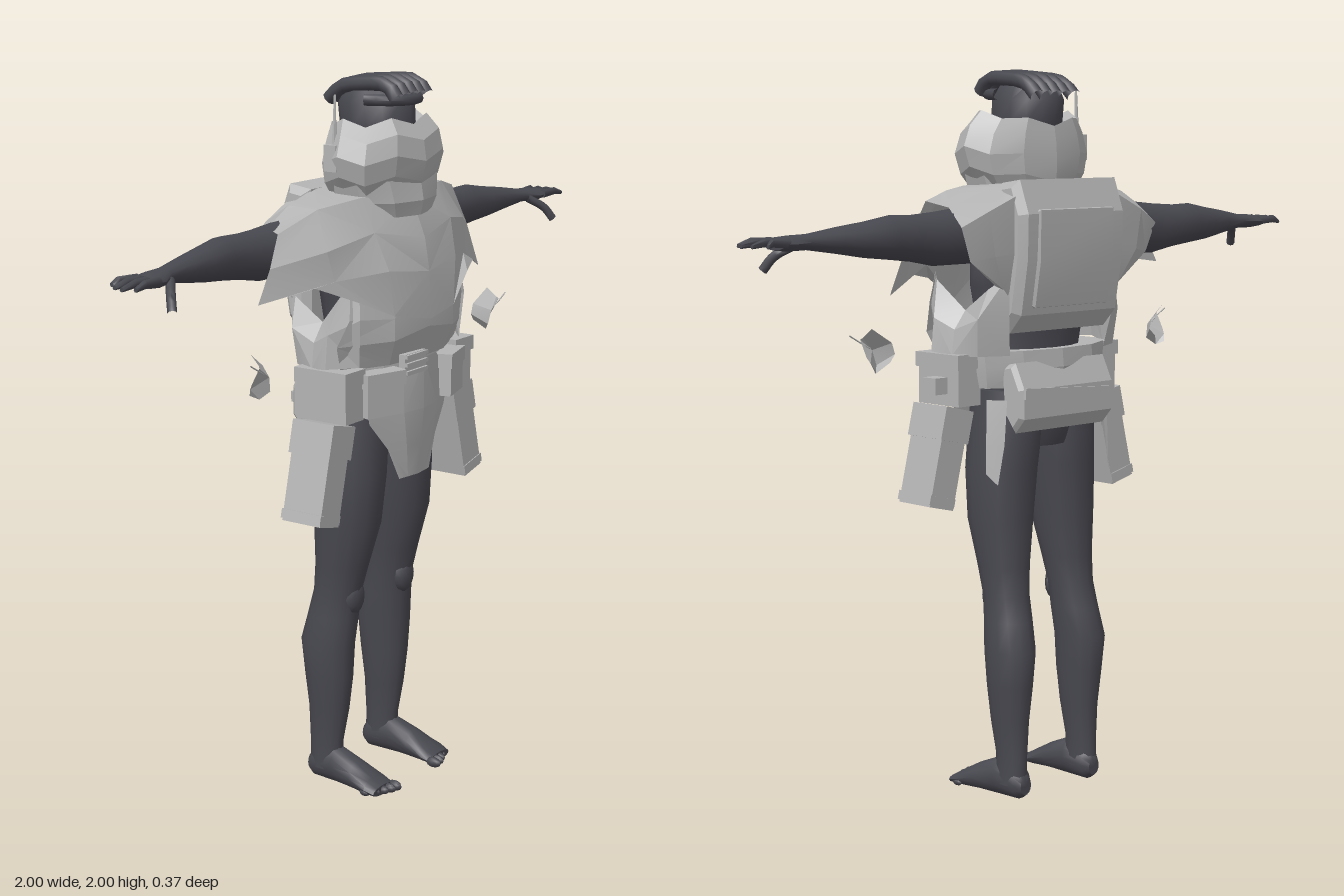
import * as THREE from 'three';
import { toCreasedNormals } from 'three/addons/utils/BufferGeometryUtils.js';

const skin = new THREE.MeshStandardMaterial({ color: 0x484850 });
skin.name = 'dark slate';
const cloth = new THREE.MeshStandardMaterial({ color: 0xb4b4b4, side: THREE.DoubleSide });
cloth.name = 'light grey';

// Elliptical sections [x, y, z, ru, rv], listed in ascending order along the axis
const AXES = { x: [1, 2], y: [2, 0], z: [0, 1] };
function loft(sections, axis, n = 14, caps = true) {
  const [u, v] = AXES[axis], pos = [], idx = [];
  for (const s of sections) for (let j = 0; j < n; j++) {
    const a = (j / n) * Math.PI * 2, p = s.slice(0, 3);
    p[u] += Math.cos(a) * s[3];
    p[v] += Math.sin(a) * s[4];
    pos.push(...p);
  }
  for (let i = 0; i < sections.length - 1; i++) for (let j = 0; j < n; j++) {
    const a = i * n + j, b = i * n + (j + 1) % n;
    idx.push(a, b, b + n, a, b + n, a + n);
  }
  if (caps) {
    const c = pos.length / 3, last = (sections.length - 1) * n;
    pos.push(...sections[0].slice(0, 3), ...sections[sections.length - 1].slice(0, 3));
    for (let j = 0; j < n; j++) {
      const k = (j + 1) % n;
      idx.push(c, k, j, c + 1, last + j, last + k);
    }
  }
  return build(pos, idx);
}

// Open surface through rows of points
function sheet(rows) {
  const n = rows[0].length, idx = [];
  for (let i = 0; i < rows.length - 1; i++) for (let j = 0; j < n - 1; j++) {
    const a = i * n + j;
    if ((i + j) % 2) idx.push(a, a + n, a + 1, a + 1, a + n, a + n + 1);
    else idx.push(a, a + n, a + n + 1, a, a + n + 1, a + 1);
  }
  return build(rows.flat(2), idx);
}

function build(pos, idx) {
  const g = new THREE.BufferGeometry();
  g.setAttribute('position', new THREE.Float32BufferAttribute(pos, 3));
  g.setIndex(idx);
  return g;
}

// Side profile of [z, y] points, extruded across x
function acrossX(profile, width, bevel = 0.012) {
  const shape = new THREE.Shape(profile.map(([z, y]) => new THREE.Vector2(-z, y)));
  const g = new THREE.ExtrudeGeometry(shape, { depth: width - 2 * bevel, bevelSize: bevel, bevelThickness: bevel, bevelSegments: 1, bevelOffset: -bevel });
  return g.translate(0, 0, -width / 2 + bevel).rotateY(Math.PI / 2);
}

function tube(points, r) {
  const curve = new THREE.CatmullRomCurve3(points.map(p => new THREE.Vector3(...p)));
  return new THREE.TubeGeometry(curve, 8, r, 8);
}

export function createModel() {
  const model = new THREE.Group();
  model.name = 'cloakedFigure';
  const add = (parent, name, geo, mat, crease = mat === skin ? 0.9 : 0.25) => {
    const m = new THREE.Mesh(toCreasedNormals(geo, crease), mat);
    m.name = name;
    parent.add(m);
    return m;
  };
  const box = (parent, name, w, h, d, x, y, z, rx = 0, ry = 0, rz = 0) => {
    const m = add(parent, name, new THREE.BoxGeometry(w, h, d), cloth);
    m.position.set(x, y, z);
    m.rotation.set(rx, ry, rz);
  };

  // Body and head
  add(model, 'torso', loft([[0, 0.98, -0.01, 0.09, 0.1], [0, 1.08, -0.01, 0.115, 0.18], [0, 1.25, 0, 0.1, 0.165],
    [0, 1.42, 0, 0.115, 0.2], [0, 1.55, -0.02, 0.12, 0.22], [0, 1.64, -0.03, 0.09, 0.17], [0, 1.68, -0.03, 0.06, 0.07]], 'y'), skin);
  add(model, 'head', loft([[0, 1.62, -0.02, 0.06, 0.06], [0, 1.72, 0, 0.075, 0.06], [0, 1.77, 0.02, 0.1, 0.075],
    [0, 1.86, 0.01, 0.108, 0.09], [0, 1.92, 0.005, 0.11, 0.09], [0, 1.96, 0, 0.085, 0.075], [0, 1.98, 0, 0.03, 0.03]], 'y'), skin);

  // Rolled hair running front to back, with a brow roll
  for (let i = -2; i <= 2; i++) {
    const x = i * 0.035, drop = Math.abs(i) * 0.002;
    add(model, 'hairRoll', tube([[x, 1.945 - drop, 0.12], [x, 1.978 - drop, 0.09], [x, 1.98 - drop, 0.01],
      [x, 1.968 - drop, -0.06], [x, 1.93, -0.1]], 0.02), skin);
  }
  add(model, 'browRoll', tube([[-0.09, 1.935, 0.03], [-0.06, 1.935, 0.1], [0, 1.935, 0.125], [0.06, 1.935, 0.1], [0.09, 1.935, 0.03]], 0.015), skin);

  // Limbs, with matching hip gear
  for (const s of [1, -1]) {
    const side = new THREE.Group();
    side.name = s > 0 ? 'leftSide' : 'rightSide';
    side.scale.x = s;
    model.add(side);
    add(side, 'leg', loft([[0.137, 0.04, -0.07, 0.052, 0.036], [0.137, 0.12, -0.07, 0.052, 0.034], [0.136, 0.22, -0.062, 0.062, 0.046],
      [0.136, 0.32, -0.062, 0.074, 0.056], [0.137, 0.42, -0.064, 0.082, 0.063], [0.13, 0.5, -0.05, 0.076, 0.061],
      [0.126, 0.57, -0.038, 0.07, 0.06], [0.123, 0.65, -0.025, 0.078, 0.068], [0.119, 0.78, -0.008, 0.098, 0.086],
      [0.112, 0.92, -0.005, 0.106, 0.096], [0.1, 1.05, -0.01, 0.11, 0.098], [0.1, 1.14, -0.01, 0.1, 0.09]], 'y'), skin);
    add(side, 'kneecap', new THREE.SphereGeometry(0.04, 10, 8).scale(1, 1.3, 0.6).translate(0.122, 0.56, 0.015), skin);
    add(side, 'foot', loft([[0.135, 0.04, -0.125, 0.02, 0.025], [0.135, 0.046, -0.105, 0.034, 0.045], [0.138, 0.055, -0.03, 0.038, 0.055],
      [0.141, 0.04, 0.04, 0.046, 0.04], [0.143, 0.024, 0.1, 0.054, 0.023], [0.142, 0.016, 0.13, 0.05, 0.014]], 'z'), skin);
    for (let i = 0; i < 5; i++)
      add(side, 'toe', new THREE.SphereGeometry(0.015 - i * 0.0012, 8, 6).scale(0.85, 1, 1.7).translate(0.1 + i * 0.022, 0.015, 0.138 - i * i * 0.0025), skin);
    add(side, 'arm', loft([[0.12, 1.57, -0.06, 0.06, 0.06], [0.22, 1.575, -0.06, 0.085, 0.08], [0.32, 1.565, -0.065, 0.075, 0.068],
      [0.42, 1.56, -0.07, 0.07, 0.06], [0.5, 1.565, -0.075, 0.06, 0.052], [0.57, 1.57, -0.075, 0.057, 0.052],
      [0.65, 1.567, -0.07, 0.046, 0.046], [0.73, 1.568, -0.06, 0.034, 0.038], [0.82, 1.567, -0.05, 0.02, 0.03],
      [0.87, 1.565, -0.042, 0.02, 0.045], [0.91, 1.565, -0.04, 0.016, 0.045]], 'x', 12), skin);
    const tips = [0.965, 0.99, 1.0, 0.985];
    tips.forEach((tip, i) => add(side, 'finger', loft([[0.89, 1.567, -0.073 + i * 0.023, 0.013, 0.012],
      [0.95, 1.57, -0.082 + i * 0.028, 0.011, 0.01], [tip, 1.562, -0.088 + i * 0.031, 0.006, 0.006]], 'x', 7), skin));
    add(side, 'thumb', tube([[0.83, 1.56, -0.02], [0.87, 1.53, 0.015], [0.89, 1.495, 0.035]], 0.012), skin);

    // Angled thigh holster with flap
    box(side, 'holster', 0.085, 0.27, 0.125, 0.32, 0.965, 0.038, 0, 0, 0.24);
    box(side, 'holsterFlap', 0.1, 0.09, 0.135, 0.297, 1.055, 0.038, 0, 0, 0.24);
    box(side, 'holsterCap', 0.09, 0.025, 0.13, 0.35, 0.853, 0.038, 0, 0, 0.24);
    // Belt pouches
    box(side, 'hipPouch', 0.08, 0.13, 0.16, 0.262, 1.17, 0.04);
    box(side, 'hipPouchFlap', 0.09, 0.04, 0.17, 0.264, 1.225, 0.04);
    box(side, 'frontPouch', 0.12, 0.11, 0.05, 0.165, 1.165, 0.135, 0, 0.3);
    box(side, 'frontPouchFlap', 0.13, 0.04, 0.056, 0.165, 1.21, 0.137, 0, 0.3);
    // Hanging strip behind the thigh
    add(side, 'rearStrip', sheet([[[0.19, 1.12, -0.11], [0.22, 1.12, -0.06]], [[0.2, 1.0, -0.11], [0.23, 1.0, -0.07]],
      [[0.215, 0.89, -0.1], [0.235, 0.92, -0.075]]]), cloth);
    // Loose shell floating beside the waist
    add(side, 'looseShell', sheet([[[0.56, 1.33, 0.01], [0.565, 1.305, 0.04], [0.57, 1.3, 0.045]],
      [[0.5, 1.29, 0.0], [0.53, 1.27, 0.045], [0.57, 1.255, 0.02]],
      [[0.49, 1.26, 0.0], [0.52, 1.23, 0.04], [0.565, 1.24, 0.01]],
      [[0.51, 1.24, -0.005], [0.54, 1.21, 0.02], [0.555, 1.22, 0.0]]]), cloth);
    add(side, 'looseSpike', tube([[0.54, 1.275, 0.04], [0.575, 1.295, 0.045], [0.605, 1.312, 0.045]], 0.002), cloth);
    // Vest flank that wraps round below the arm
    add(side, 'vestFlank', sheet([[[0.24, 1.46, 0.12], [0.27, 1.44, 0.08], [0.24, 1.36, 0], [0.24, 1.42, -0.09], [0.2, 1.46, -0.13]],
      [[0.25, 1.38, 0.13], [0.3, 1.34, 0.06], [0.28, 1.31, 0], [0.27, 1.34, -0.08], [0.2, 1.36, -0.13]],
      [[0.24, 1.25, 0.12], [0.31, 1.25, 0.06], [0.29, 1.24, 0], [0.26, 1.24, -0.07], [0.18, 1.24, -0.11]]]), cloth);
  }

  // Hood gathered round the neck
  add(model, 'lowerCollar', loft([[0, 1.63, 0.03, 0.12, 0.14], [0, 1.67, 0.03, 0.13, 0.17], [0, 1.73, 0.03, 0.12, 0.19]], 'y', 10, false), cloth);
  const hood = loft([[0, 1.68, 0.02, 0.11, 0.16], [0, 1.73, 0.025, 0.13, 0.2], [0, 1.785, 0.03, 0.138, 0.215],
    [0, 1.84, 0.028, 0.132, 0.195], [0, 1.88, 0.015, 0.112, 0.165], [0, 1.865, 0.01, 0.105, 0.12], [0, 1.8, 0.005, 0.1, 0.09]], 'y', 12, false);
  const hp = hood.attributes.position;
  for (let i = 0; i < hp.count; i++) // alternate folds, low at the nape
    hp.setY(i, hp.getY(i) + (i % 2 ? 0.012 : -0.01) + (hp.getZ(i) < -0.06 ? -0.02 : 0));
  add(model, 'hood', hood, cloth);
  add(model, 'antenna', new THREE.CylinderGeometry(0.003, 0.008, 0.17, 6).rotateZ(-0.03).translate(-0.183, 1.87, 0), cloth);
  box(model, 'antennaBase', 0.03, 0.07, 0.04, -0.19, 1.79, 0);

  // Poncho: back edge over the shoulders to the uneven front hem
  const ridge = [[-0.37, 1.62, -0.08], [-0.28, 1.67, -0.08], [-0.15, 1.7, -0.09], [0, 1.71, -0.1], [0.15, 1.7, -0.09], [0.28, 1.67, -0.08], [0.37, 1.64, -0.08]];
  add(model, 'ponchoFront', sheet([ridge,
    [[-0.43, 1.62, 0], [-0.3, 1.67, 0.03], [-0.17, 1.69, 0.08], [0, 1.68, 0.12], [0.17, 1.69, 0.08], [0.28, 1.68, 0.03], [0.38, 1.655, 0]],
    [[-0.49, 1.54, 0.02], [-0.34, 1.57, 0.09], [-0.17, 1.6, 0.12], [0, 1.57, 0.165], [0.17, 1.6, 0.135], [0.3, 1.58, 0.09], [0.43, 1.54, 0.02]],
    [[-0.54, 1.455, 0.02], [-0.32, 1.49, 0.1], [-0.16, 1.5, 0.16], [0, 1.48, 0.18], [0.15, 1.5, 0.165], [0.29, 1.48, 0.1], [0.48, 1.41, 0.03]],
    [[-0.38, 1.48, 0.08], [-0.26, 1.43, 0.13], [-0.15, 1.38, 0.17], [0, 1.35, 0.185], [0.12, 1.37, 0.18], [0.25, 1.44, 0.14], [0.34, 1.455, 0.1]]]), cloth);
  add(model, 'ponchoBack', sheet([ridge,
    [[-0.37, 1.58, -0.13], [-0.29, 1.62, -0.15], [-0.16, 1.68, -0.15], [0, 1.69, -0.15], [0.16, 1.68, -0.15], [0.29, 1.63, -0.15], [0.38, 1.59, -0.14]],
    [[-0.33, 1.5, -0.13], [-0.27, 1.51, -0.15], [-0.18, 1.52, -0.15], [0, 1.52, -0.15], [0.18, 1.52, -0.15], [0.27, 1.51, -0.15], [0.35, 1.5, -0.14]],
    [[-0.23, 1.43, -0.12], [-0.22, 1.42, -0.13], [-0.15, 1.35, -0.12], [0, 1.32, -0.12], [0.15, 1.35, -0.12], [0.22, 1.42, -0.13], [0.24, 1.43, -0.12]]]), cloth);

  // Vest front
  add(model, 'vestFront', sheet([
    [[-0.25, 1.48, 0.1], [-0.13, 1.48, 0.15], [0, 1.48, 0.17], [0.13, 1.48, 0.15], [0.25, 1.48, 0.1]],
    [[-0.27, 1.38, 0.11], [-0.14, 1.37, 0.165], [0, 1.37, 0.18], [0.14, 1.37, 0.165], [0.27, 1.38, 0.11]],
    [[-0.3, 1.31, 0.09], [-0.14, 1.31, 0.165], [0, 1.33, 0.18], [0.14, 1.31, 0.165], [0.3, 1.3, 0.09]],
    [[-0.27, 1.24, 0.08], [-0.13, 1.24, 0.14], [0, 1.24, 0.15], [0.13, 1.24, 0.14], [0.27, 1.24, 0.08]]]), cloth);

  // Backpack with a raised panel
  add(model, 'backpack', acrossX([[-0.08, 1.7], [-0.15, 1.71], [-0.183, 1.62], [-0.18, 1.5], [-0.155, 1.35], [-0.11, 1.3], [-0.08, 1.32]], 0.4, 0.02), cloth);
  add(model, 'backpackPanel', acrossX([[-0.14, 1.64], [-0.187, 1.63], [-0.187, 1.5], [-0.165, 1.37], [-0.12, 1.36]], 0.3), cloth);

  // Belt, buckle and rear bags
  add(model, 'belt', loft([[0, 1.15, 0.005, 0.13, 0.25], [0, 1.2, 0.005, 0.14, 0.26], [0, 1.25, 0.005, 0.135, 0.265]], 'y', 12), cloth);
  box(model, 'buckle', 0.1, 0.06, 0.02, -0.05, 1.235, 0.16);
  for (let i = 0; i < 3; i++) box(model, 'buckleBar', 0.1, 0.01, 0.01, -0.05, 1.215 + i * 0.022, 0.173);
  box(model, 'sideClip', 0.05, 0.045, 0.05, 0.32, 1.16, 0.03);
  add(model, 'rearBag', acrossX([[-0.07, 1.21], [-0.12, 1.22], [-0.155, 1.15], [-0.155, 1.07], [-0.12, 1.03], [-0.08, 1.08]], 0.36), cloth);
  box(model, 'rearBagStrap', 0.34, 0.03, 0.02, 0, 1.13, -0.152, 0, 0, 0.06);

  // Front apron cloth tapering to a straight hem
  add(model, 'apron', sheet([
    [[-0.2, 1.15, 0.11], [-0.08, 1.24, 0.15], [0, 1.24, 0.165], [0.08, 1.24, 0.15], [0.2, 1.15, 0.11]],
    [[-0.18, 1.08, 0.11], [-0.08, 1.1, 0.155], [0, 1.1, 0.165], [0.08, 1.1, 0.155], [0.18, 1.07, 0.11]],
    [[-0.115, 1.0, 0.125], [-0.06, 1.0, 0.15], [0, 1.0, 0.155], [0.06, 1.0, 0.15], [0.115, 1.0, 0.125]],
    [[-0.075, 0.91, 0.135], [-0.04, 0.91, 0.14], [0, 0.91, 0.145], [0.04, 0.91, 0.14], [0.07, 0.91, 0.135]]]), cloth);
  return model;
}
